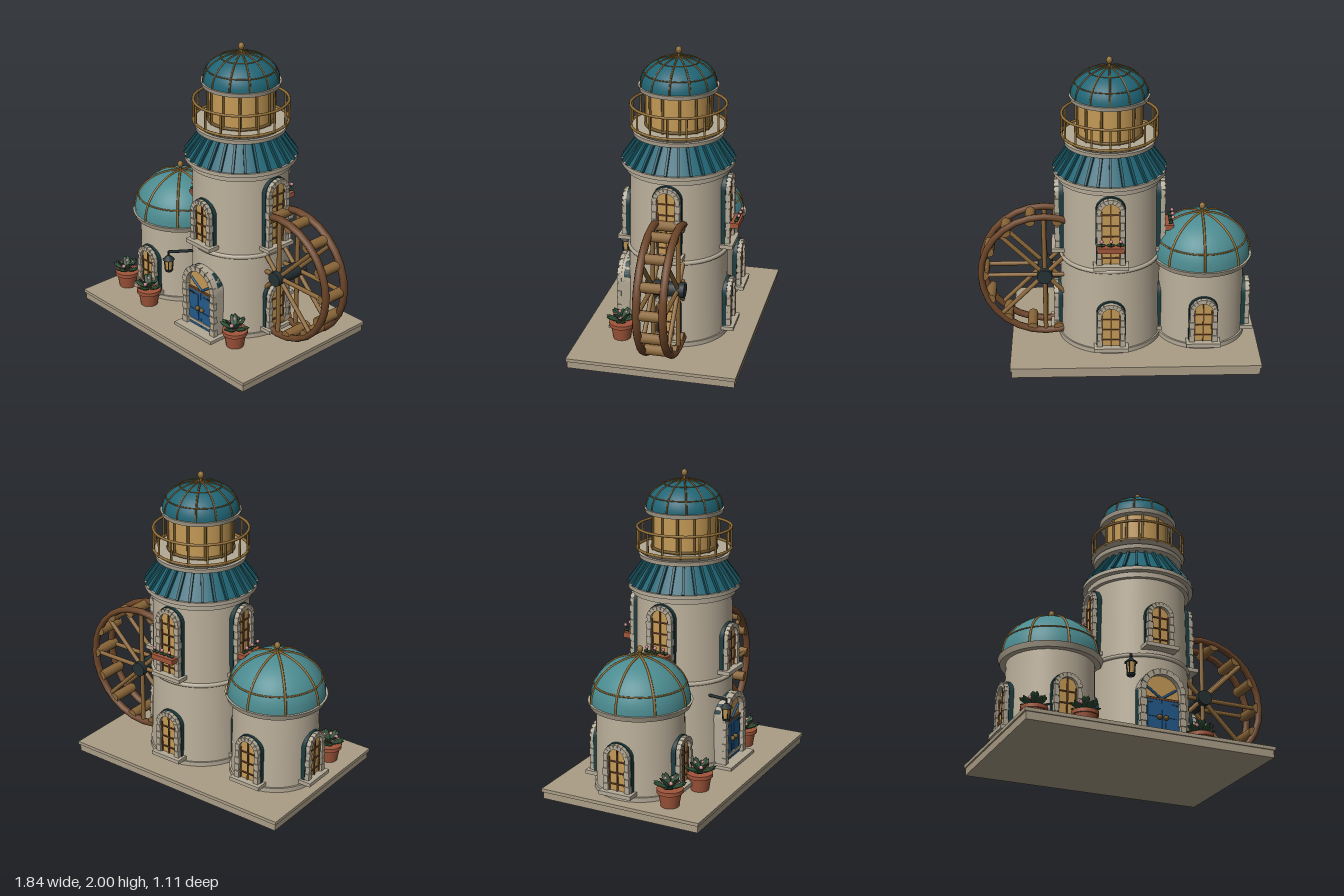
import * as THREE from 'three';

const mat = (color) => new THREE.MeshStandardMaterial({ color, side: THREE.DoubleSide });
const M = {
  wall: mat(0xbdb19c), stone: mat(0xb3a996), plate: mat(0xaa9d86), dark: mat(0x1d3c40), iron: mat(0x263033),
  roof: mat(0x1f6474), rib: mat(0x17505c), houseRoof: mat(0x4b8b90), gold: mat(0x8f6c34), brass: mat(0x6e5428),
  glow: mat(0xc49a56), wood: mat(0x6b4428), woodLight: mat(0x8a6638), blue: mat(0x235a8c),
  pot: mat(0xa0553a), leaf: mat(0x2b4a32), petal: mat(0xd08a94),
};
const V = (x, y, z) => new THREE.Vector3(x, y, z);

function add(parent, name, geo, material, x = 0, y = 0, z = 0) {
  const m = new THREE.Mesh(geo, material);
  m.name = name;
  m.position.set(x, y, z);
  parent.add(m);
  return m;
}
function group(parent, name, x = 0, y = 0, z = 0, ry = 0) {
  const g = new THREE.Group();
  g.name = name;
  g.position.set(x, y, z);
  g.rotation.y = ry;
  parent.add(g);
  return g;
}
const box = (p, n, m, w, h, d, x, y, z) => add(p, n, new THREE.BoxGeometry(w, h, d), m, x, y, z);
// Upright drum from y0 to y1
const drum = (p, n, m, r0, r1, y0, y1, seg = 48) =>
  add(p, n, new THREE.CylinderGeometry(r1, r0, y1 - y0, seg), m, 0, (y0 + y1) / 2, 0);
// Round bar between two points
function bar(p, n, m, a, b, r, seg = 8) {
  const c = add(p, n, new THREE.CylinderGeometry(r, r, a.distanceTo(b), seg), m);
  c.position.copy(a).lerp(b, 0.5);
  c.quaternion.setFromUnitVectors(V(0, 1, 0), b.clone().sub(a).normalize());
  return c;
}
function hoop(p, n, m, R, r, y) {
  const t = add(p, n, new THREE.TorusGeometry(R, r, 8, 48), m, 0, y, 0);
  t.rotation.x = Math.PI / 2;
  return t;
}
// Round-headed outline standing on y = y0
function archPath(w, h, y0 = 0, Kind = THREE.Shape) {
  const s = new Kind(), r = w / 2;
  s.moveTo(-r, y0);
  s.lineTo(r, y0);
  s.lineTo(r, h - r);
  s.absarc(0, h - r, r, 0, Math.PI, false);
  s.lineTo(-r, y0);
  return s;
}
function slab(p, n, m, shape, z0, z1) {
  return add(p, n, new THREE.ExtrudeGeometry(shape, { depth: z1 - z0, bevelEnabled: false, curveSegments: 16 }), m, 0, 0, z0);
}
// Stone surround: frame, arch stones and jamb stones
function surround(p, w, h, t, z0, z1) {
  const s = archPath(w, h), spring = h - w / 2, r = w / 2 - t / 2;
  s.holes.push(archPath(w - 2 * t, h - t, 0.001, THREE.Path));
  slab(p, 'stoneFrame', M.stone, s, z0, z1);
  for (let i = 0; i < 9; i++) {
    const a = (i + 0.5) * Math.PI / 9;
    const b = box(p, 'archStone', M.stone, t * 1.15, r * 0.31, 0.03, r * Math.cos(a), spring + r * Math.sin(a), z1 - 0.009);
    b.rotation.z = a;
  }
  for (const sx of [-1, 1]) for (let y = 0.03, i = 0; y < spring - 0.01; y += 0.05, i++)
    box(p, 'jambStone', M.stone, t * (i % 2 ? 1.1 : 1.4), 0.044, 0.03, sx * r, y, z1 - 0.009);
}
// Arched window on a round wall; angle 0 faces the front
function archWindow(parent, R, angle, y, h, flowers) {
  const g = group(parent, 'window', 0, y, 0, angle);
  const w = 0.175, t = 0.026, iw = w - 2 * t;
  slab(g, 'windowRecess', M.dark, archPath(w + 0.016, h + 0.008), R - 0.05, R + 0.012);
  slab(g, 'windowPane', M.glow, archPath(iw, h - t), R, R + 0.018);
  surround(g, w, h, t, R - 0.03, R + 0.036);
  for (const x of [-iw / 2 + 0.005, 0, iw / 2 - 0.005])
    box(g, 'mullion', M.wood, 0.009, h - (x ? w / 2 : t), 0.012, x, (h - (x ? w / 2 : t)) / 2, R + 0.02);
  for (let yy = 0.05; yy < h - 0.06; yy += 0.075) box(g, 'glazingBar', M.wood, iw, 0.008, 0.012, 0, yy, R + 0.02);
  box(g, 'sill', M.stone, 0.225, 0.026, 0.1, 0, -0.008, R + 0.015);
  if (flowers) {
    box(g, 'flowerBox', M.pot, 0.17, 0.035, 0.055, 0, 0.135, R + 0.07);
    for (const x of [-0.06, 0, 0.06]) {
      bar(g, 'stem', M.leaf, V(x, 0.15, R + 0.07), V(x, 0.195, R + 0.09), 0.005);
      for (const s of [-1, 1]) add(g, 'boxLeaf', new THREE.SphereGeometry(0.016, 6, 4), M.leaf, x + s * 0.012, 0.17, R + 0.08).scale.y = 0.5;
      add(g, 'blossom', new THREE.SphereGeometry(0.012, 8, 6), M.petal, x, 0.2, R + 0.093);
    }
  }
}
// Elliptical dome with ribs, hoops and finial
function dome(parent, m, ribMat, R, H, y, ribs, rr, hoops) {
  const g = group(parent, 'dome', 0, y, 0), pts = [], arc = [];
  for (let i = 0; i <= 14; i++) {
    const a = (i / 14) * Math.PI / 2;
    pts.push(new THREE.Vector2(Math.max(R * Math.cos(a), 0.0001), H * Math.sin(a)));
    arc.push(V(R * Math.cos(a), H * Math.sin(a), 0));
  }
  add(g, 'domeShell', new THREE.LatheGeometry(pts, 40), m);
  const rib = new THREE.TubeGeometry(new THREE.CatmullRomCurve3(arc), 20, rr, 6);
  for (let i = 0; i < ribs; i++) add(g, 'domeRib', rib, ribMat).rotation.y = i * Math.PI * 2 / ribs;
  for (const f of hoops) hoop(g, 'domeHoop', ribMat, R * Math.sqrt(1 - f * f), rr * 0.7, H * f);
  bar(g, 'finialRod', M.gold, V(0, H - 0.01, 0), V(0, H + 0.04, 0), 0.009);
  add(g, 'finialBall', new THREE.SphereGeometry(0.02, 12, 10), M.gold, 0, H + 0.043, 0).scale.y = 1.2;
}

function buildTower(root) {
  const g = group(root, 'tower', 0.045, 0, -0.035);
  drum(g, 'footing', M.stone, 0.345, 0.345, 0.07, 0.1);
  drum(g, 'lowerWall', M.wall, 0.335, 0.322, 0.1, 0.66);
  drum(g, 'upperWall', M.wall, 0.32, 0.312, 0.66, 1.21);
  hoop(g, 'bandCourse', M.stone, 0.32, 0.015, 0.66);
  drum(g, 'corniceLower', M.stone, 0.338, 0.338, 1.2, 1.235);
  drum(g, 'corniceUpper', M.stone, 0.366, 0.366, 1.24, 1.265);
  drum(g, 'skirtRoof', M.roof, 0.352, 0.225, 1.265, 1.44);
  for (let i = 0; i < 28; i++) {
    const r = group(g, 'roofRib', 0, 0, 0, i * Math.PI / 14);
    const b = box(r, 'ribBeam', M.rib, 0.225, 0.026, 0.016, 0.294, 1.356, 0);
    b.rotation.z = -Math.atan2(0.175, 0.127);
  }
  // Balcony and railing
  drum(g, 'balconyUnderside', M.stone, 0.292, 0.297, 1.435, 1.462);
  drum(g, 'balconyFloor', M.stone, 0.275, 0.31, 1.462, 1.488);
  for (const y of [1.495, 1.63]) hoop(g, 'rail', M.gold, 0.305, 0.009, y);
  for (let i = 0; i < 16; i++) {
    const a = i * Math.PI / 8, x = 0.305 * Math.cos(a), z = 0.305 * Math.sin(a);
    bar(g, 'baluster', M.gold, V(x, 1.485, z), V(x, 1.635, z), 0.007);
  }
  // Lantern room
  drum(g, 'lanternGlass', M.glow, 0.207, 0.207, 1.485, 1.735);
  for (let i = 0; i < 12; i++) {
    const a = (i + 0.5) * Math.PI / 6, x = 0.21 * Math.cos(a), z = 0.21 * Math.sin(a);
    bar(g, 'lanternPost', M.brass, V(x, 1.485, z), V(x, 1.735, z), 0.009);
  }
  hoop(g, 'lanternRing', M.brass, 0.21, 0.01, 1.5);
  drum(g, 'domeCurb', M.stone, 0.25, 0.258, 1.728, 1.756);
  dome(g, M.roof, M.brass, 0.246, 0.18, 1.755, 12, 0.006, [0.45, 0.85]);
  // Windows
  archWindow(g, 0.318, 0, 0.72, 0.3, false);
  archWindow(g, 0.318, Math.PI / 2, 0.72, 0.46, false);
  archWindow(g, 0.318, Math.PI, 0.72, 0.46, true);
  archWindow(g, 0.318, -Math.PI / 2, 0.72, 0.46, true);
  archWindow(g, 0.332, Math.PI / 2, 0.13, 0.315, false);
  archWindow(g, 0.332, Math.PI, 0.13, 0.315, false);
  buildDoor(g, 0.33);
}

function buildDoor(parent, R) {
  const g = group(parent, 'door', 0, 0.085, 0);
  slab(g, 'doorRecess', M.dark, archPath(0.3, 0.465), R - 0.07, R + 0.008);
  slab(g, 'fanlight', M.glow, archPath(0.25, 0.44), R - 0.02, R + 0.016);
  surround(g, 0.3, 0.465, 0.032, R - 0.05, R + 0.048);
  for (const s of [-1, 1]) {
    box(g, 'doorLeaf', M.blue, 0.117, 0.27, 0.03, s * 0.06, 0.135, R + 0.012);
    for (const y of [0.08, 0.2]) box(g, 'doorPanel', M.blue, 0.075, 0.09, 0.012, s * 0.06, y, R + 0.026);
    add(g, 'knob', new THREE.SphereGeometry(0.017, 10, 8), M.brass, s * 0.022, 0.15, R + 0.04);
    bar(g, 'fanBar', M.blue, V(0, 0.28, R + 0.02), V(s * 0.1, 0.35, R + 0.02), 0.008);
    box(g, 'hingeStrap', M.iron, 0.05, 0.01, 0.008, s * 0.09, 0.245, R + 0.029);
  }
  box(g, 'transom', M.wood, 0.24, 0.014, 0.03, 0, 0.275, R + 0.015);
  box(g, 'kickPlate', M.stone, 0.23, 0.022, 0.012, 0, 0.04, R + 0.03);
  box(g, 'doorstep', M.stone, 0.36, 0.022, 0.13, 0, -0.005, R + 0.04);
}

function buildHouse(root) {
  const g = group(root, 'roundHouse', -0.56, 0, -0.035);
  drum(g, 'footing', M.stone, 0.298, 0.298, 0.07, 0.1);
  drum(g, 'wall', M.wall, 0.286, 0.28, 0.1, 0.62);
  drum(g, 'eaves', M.stone, 0.318, 0.332, 0.61, 0.645);
  dome(g, M.houseRoof, M.gold, 0.318, 0.285, 0.645, 8, 0.008, [0.4]);
  for (const a of [0, 1, 2, 3]) archWindow(g, 0.284, a * Math.PI / 2, 0.13, 0.315, false);
}

function buildWheel(root) {
  const g = group(root, 'waterWheel', 0.475, 0.535, -0.052);
  for (const z of [-0.083, 0.083]) {
    add(g, 'rim', new THREE.TorusGeometry(0.418, 0.022, 8, 28), M.wood, 0, 0, z).scale.z = 1.2;
    for (let i = 0; i < 8; i++) {
      const a = i * Math.PI / 4;
      bar(g, 'spoke', M.woodLight, V(0, 0, z), V(0.41 * Math.cos(a), 0.41 * Math.sin(a), z), 0.015);
    }
  }
  for (let i = 0; i < 14; i++) {
    const a = i * Math.PI / 7, x = 0.4 * Math.cos(a), y = 0.4 * Math.sin(a);
    bar(g, 'paddle', M.woodLight, V(x, y, -0.1), V(x, y, 0.1), 0.034, 10);
  }
  bar(g, 'axle', M.iron, V(0, 0, -0.128), V(0, 0, 0.128), 0.05, 16);
}

function buildPot(root, x, z) {
  const g = group(root, 'flowerPot', x, 0.07, z);
  drum(g, 'pot', M.pot, 0.058, 0.075, 0, 0.1, 20);
  drum(g, 'potRim', M.pot, 0.084, 0.084, 0.09, 0.115, 20);
  const blade = new THREE.SphereGeometry(0.05, 8, 6);
  blade.scale(1, 0.18, 0.42);
  for (let i = 0; i < 16; i++) {
    const a = i * 2.4, upper = i % 2, l = group(g, 'leaf', 0, 0.115, 0, a);
    add(l, 'leafBlade', blade, M.leaf, upper ? 0.035 : 0.058, upper ? 0.042 : 0.022, 0).rotation.z = upper ? 0.85 : 0.4;
  }
  for (let i = 0; i < 5; i++) {
    const a = i * 1.257;
    add(g, 'flower', new THREE.IcosahedronGeometry(0.014, 1), M.petal, 0.045 * Math.cos(a), 0.165, 0.045 * Math.sin(a));
  }
}

function buildLamp(root) {
  const g = group(root, 'wallLamp', -0.195, 0, 0.39);
  bar(g, 'bracket', M.iron, V(0.07, 0.57, -0.16), V(0, 0.59, 0), 0.01);
  bar(g, 'hook', M.iron, V(0, 0.595, 0), V(0, 0.555, 0), 0.006);
  drum(g, 'lampCap', M.iron, 0.042, 0.01, 0.535, 0.565, 8);
  drum(g, 'lampGlass', M.glow, 0.021, 0.027, 0.46, 0.537, 8);
  drum(g, 'lampBase', M.iron, 0.024, 0.03, 0.448, 0.463, 8);
  for (let i = 0; i < 4; i++) {
    const a = (i + 0.5) * Math.PI / 2, c = Math.cos(a), s = Math.sin(a);
    bar(g, 'lampCage', M.iron, V(0.023 * c, 0.455, 0.023 * s), V(0.03 * c, 0.54, 0.03 * s), 0.004);
  }
}

export function createModel() {
  const root = new THREE.Group();
  root.name = 'lighthouseMill';
  // Ground plate
  box(root, 'plateBody', M.plate, 1.61, 0.05, 1.096, -0.113, 0.025, 0);
  box(root, 'plateTop', M.plate, 1.63, 0.022, 1.112, -0.113, 0.059, 0);
  buildTower(root);
  buildHouse(root);
  buildWheel(root);
  buildLamp(root);
  for (const [x, z] of [[-0.775, 0.285], [-0.472, 0.34], [0.33, 0.28]]) buildPot(root, x, z);
  return root;
}
